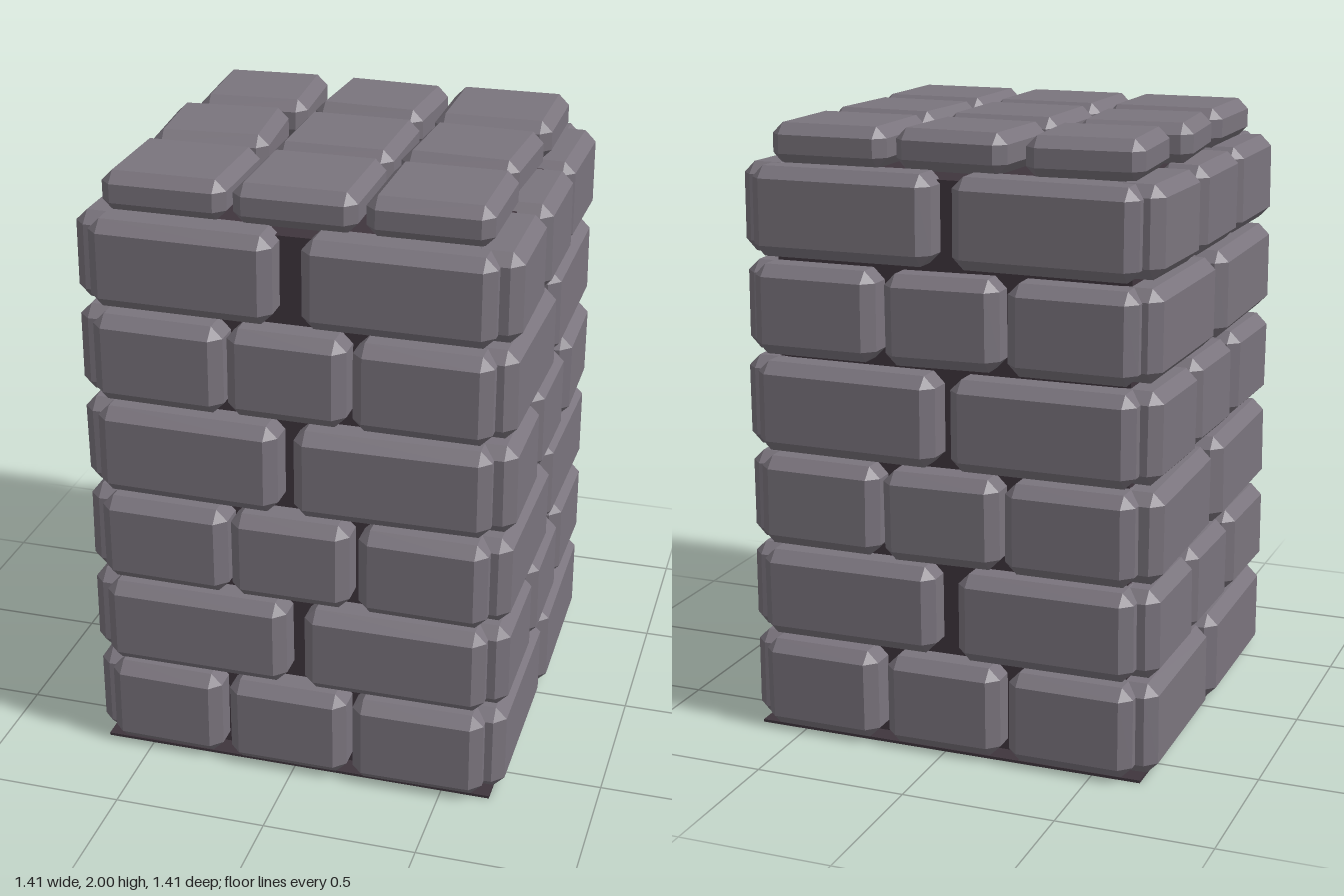
import * as THREE from 'three';
import { ConvexGeometry } from 'three/addons/geometries/ConvexGeometry.js';

// Box with every edge and corner cut flat
function chamferedBox(w, h, d, c) {
  const points = [];
  for (const sx of [-1, 1]) for (const sy of [-1, 1]) for (const sz of [-1, 1]) {
    const x = w / 2, y = h / 2, z = d / 2;
    points.push(
      new THREE.Vector3(sx * x, sy * (y - c), sz * (z - c)),
      new THREE.Vector3(sx * (x - c), sy * y, sz * (z - c)),
      new THREE.Vector3(sx * (x - c), sy * (y - c), sz * z));
  }
  return new ConvexGeometry(points);
}

export function createModel() {
  const model = new THREE.Group();
  model.name = 'brickPillar';

  const stone = new THREE.MeshStandardMaterial({ color: 0x7a747d, flatShading: true });
  stone.name = 'grey stone';
  const mortar = new THREE.MeshStandardMaterial({ color: 0x3f353d, flatShading: true });
  mortar.name = 'dark mortar';

  let seed = 7;
  const jitter = (amount) => {
    seed = (seed * 16807) % 2147483647;
    return (seed / 2147483647 * 2 - 1) * amount;
  };

  // Mortar core and the flat underside
  const core = new THREE.Mesh(new THREE.BoxGeometry(1.18, 1.85, 1.18), mortar);
  core.name = 'mortarCore';
  core.position.y = 0.925;
  const base = new THREE.Mesh(new THREE.BoxGeometry(1.32, 0.009, 1.32), mortar);
  base.name = 'basePlate';
  base.position.y = 0.0045;
  model.add(core, base);

  // Brick courses: [bottom, top]
  const courses = [[0.01, 0.31], [0.33, 0.62], [0.64, 0.935], [0.955, 1.25], [1.275, 1.565], [1.59, 1.875]];
  const E = 0.635; // end of a course

  // Spans of the bricks along each wall, from the bottom course up
  const two = (a, b) => [[-E, a], [b, E]];
  const three = (a, b, c, d) => [[-E, a], [b, c], [d, E]];
  const walls = [
    { name: 'frontWall', turn: 0, rows: [
      three(-0.25, -0.22, 0.18, 0.2), two(-0.02, 0.04), three(-0.21, -0.2, 0.19, 0.22),
      two(-0.04, 0.01), three(-0.21, -0.2, 0.18, 0.2), two(-0.05, 0.04)] },
    { name: 'rightWall', turn: 1, rows: [
      two(0, 0.02), three(-0.23, -0.2, 0.19, 0.23), two(-0.03, 0.05),
      three(-0.24, -0.19, 0.19, 0.24), two(-0.04, 0.03), three(-0.23, -0.2, 0.19, 0.22)] },
    { name: 'backWall', turn: 2, rows: [
      three(-0.23, -0.2, 0.19, 0.22), two(-0.03, 0.05), three(-0.22, -0.2, 0.19, 0.21),
      two(-0.02, 0.03), three(-0.22, -0.19, 0.19, 0.22), two(-0.03, 0.04)] },
    { name: 'leftWall', turn: 3, rows: [
      two(-0.02, 0.02), three(-0.23, -0.2, 0.19, 0.23), two(-0.03, 0.03),
      three(-0.23, -0.19, 0.19, 0.23), two(-0.03, 0.03), three(-0.23, -0.2, 0.19, 0.22)] },
  ];

  const outer = 0.698, depth = 0.17;
  for (const { name, turn, rows } of walls) {
    const wall = new THREE.Group();
    wall.name = name;
    wall.rotation.y = turn * Math.PI / 2;
    rows.forEach((row, i) => {
      const [low, high] = courses[i];
      for (const [a, b] of row) {
        const brick = new THREE.Mesh(chamferedBox(b - a, high - low, depth, 0.037), stone);
        brick.name = 'wallBrick';
        brick.position.set((a + b) / 2, (low + high) / 2, outer - depth / 2 + jitter(0.005));
        brick.rotation.set(jitter(0.01), jitter(0.018), jitter(0.01));
        wall.add(brick);
      }
    });
    model.add(wall);
  }

  // Nine capping stones: [x, z, width, length, turn]
  const caps = [
    [-0.42, -0.415, 0.37, 0.37, 0.07], [-0.005, -0.42, 0.375, 0.36, -0.05], [0.41, -0.42, 0.39, 0.38, 0.01],
    [-0.435, -0.01, 0.38, 0.36, 0.09], [-0.005, 0, 0.39, 0.39, 0], [0.405, -0.005, 0.38, 0.37, -0.05],
    [-0.42, 0.41, 0.4, 0.39, 0], [-0.005, 0.41, 0.39, 0.39, 0], [0.41, 0.41, 0.39, 0.39, 0],
  ];
  const top = new THREE.Group();
  top.name = 'topCap';
  for (const [x, z, w, l, turn] of caps) {
    const cap = new THREE.Mesh(chamferedBox(w, 0.13, l, 0.035), stone);
    cap.name = 'capStone';
    cap.position.set(x, 1.935, z);
    cap.rotation.y = turn;
    top.add(cap);
  }
  model.add(top);

  return model;
}
